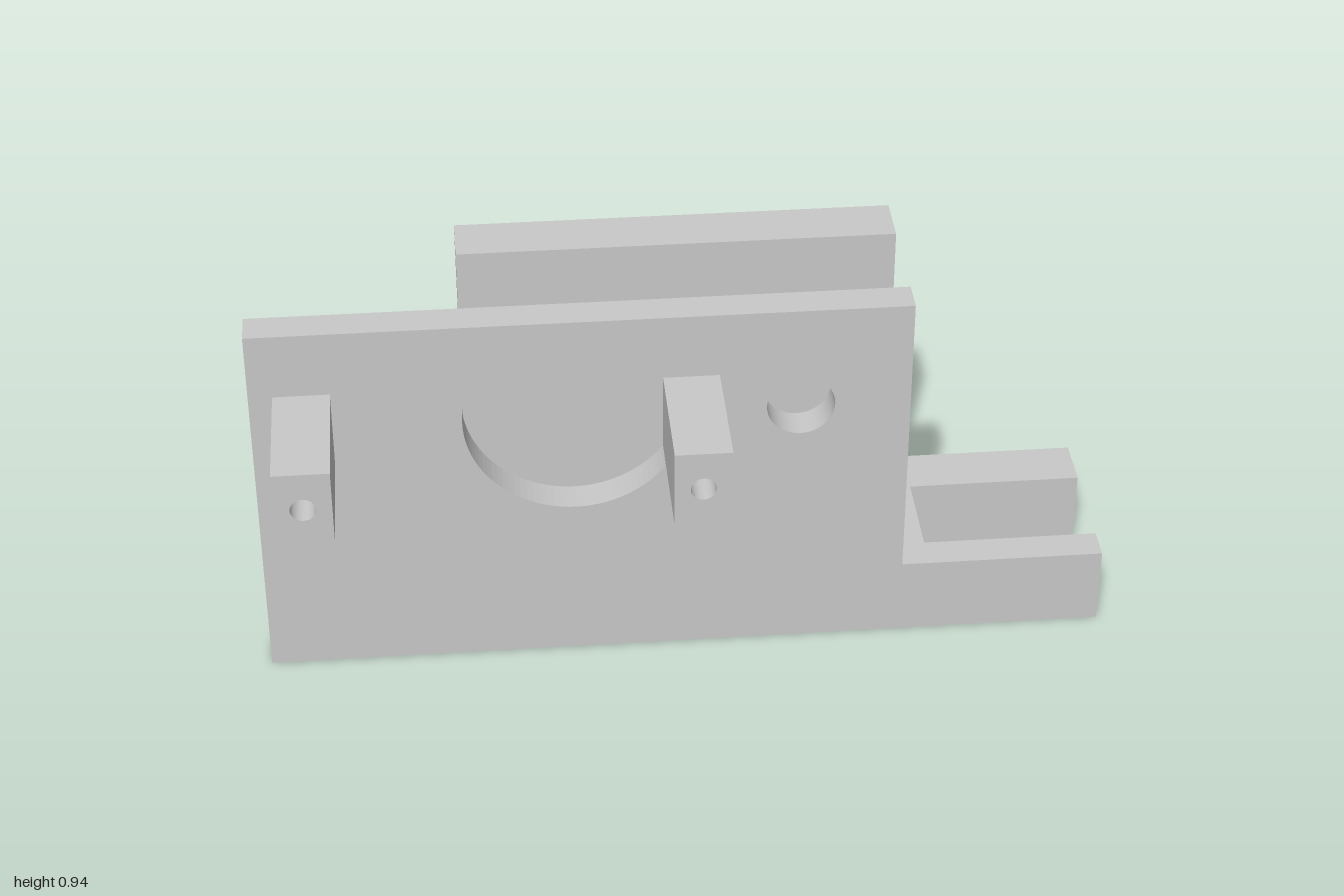
import * as THREE from 'three';

const gray = new THREE.MeshStandardMaterial({ color: 0xc8c8c8 });
gray.name = 'light gray';

// Extrude an outline along z from z0 to z1, with round holes [x, y, radius]
function plate(name, points, holes, z0, z1) {
  const shape = new THREE.Shape(points.map(([x, y]) => new THREE.Vector2(x, y)));
  for (const [x, y, r] of holes) {
    shape.holes.push(new THREE.Path().absarc(x, y, r, 0, Math.PI * 2, true));
  }
  const geometry = new THREE.ExtrudeGeometry(shape, {
    depth: z1 - z0, bevelEnabled: false, curveSegments: 48,
  });
  geometry.translate(0, 0, z0);
  const mesh = new THREE.Mesh(geometry, gray);
  mesh.name = name;
  return mesh;
}

const rect = (x0, y0, x1, y1) => [[x0, y0], [x1, y0], [x1, y1], [x0, y1]];

export function createModel() {
  const model = new THREE.Group();
  model.name = 'bracket';

  // Front wall with its rail running out to the left
  model.add(plate('frontWall',
    [[-1, 0], [1, 0], [1, 0.195], [0.515, 0.195], [0.515, 0.937], [-1, 0.937]],
    [[-0.262, 0.678, 0.258], [0.26, 0.678, 0.079]], 0.315, 0.395));

  // Back wall standing on a full-width rail
  model.add(plate('backWall',
    [[-1, 0], [1, 0], [1, 0.195], [0.515, 0.195], [0.515, 0.937],
      [-0.515, 0.937], [-0.515, 0.195], [-1, 0.195]],
    [[0.26, 0.678, 0.064]], -0.04, 0.088));

  // Bridges joining the two walls
  for (const x of [-0.483, -0.001, 0.484]) {
    const bridge = new THREE.Mesh(new THREE.BoxGeometry(0.192, 0.195, 0.227), gray);
    bridge.position.set(x, 0.0975, 0.2015);
    bridge.name = 'bridge';
    model.add(bridge);
  }

  // Posts on the front wall, each with a blind bore closed at the back
  for (const x of [-0.88, 0.006]) {
    model.add(plate('post', rect(x - 0.065, 0.581, x + 0.065, 0.774),
      [[x, 0.678, 0.029]], 0.395, 0.697));
    const floor = new THREE.Mesh(new THREE.CylinderGeometry(0.029, 0.029, 0.02, 48), gray);
    floor.rotation.x = Math.PI / 2;
    floor.position.set(x, 0.678, 0.405);
    floor.name = 'boreFloor';
    model.add(floor);
  }

  // Mounting foot behind, drawn flat and laid down
  const foot = plate('mountingFoot', rect(-0.453, 0.04, 0.453, 0.697),
    [[0, 0.475, 0.045], [-0.248, 0.28, 0.045], [0.248, 0.28, 0.045], [0, 0.086, 0.045]],
    0, 0.098);
  foot.rotation.x = -Math.PI / 2;
  model.add(foot);

  return model;
}
